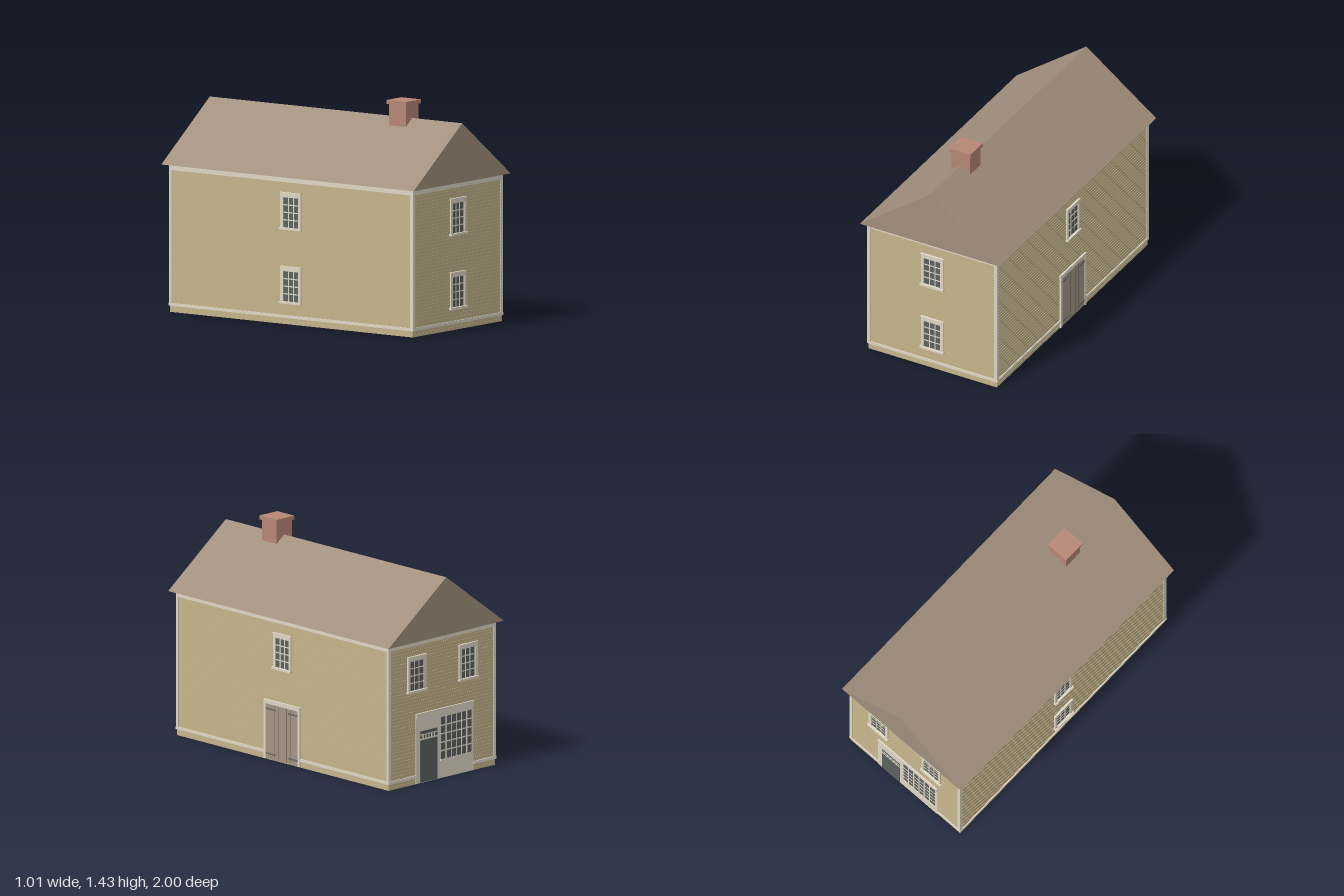
import * as THREE from 'three';

const mat = (name, color) => {
  const m = new THREE.MeshStandardMaterial({ color });
  m.name = name;
  return m;
};

const M = {
  siding: mat('tan siding', 0xc4b38a),
  trim: mat('pale trim', 0xdfd7c5),
  roof: mat('brown shingle', 0xa08f7c),
  brick: mat('brick', 0xb68675),
  glass: mat('dark glass', 0x5c6160),
  door: mat('barn door brown', 0xa69483),
  iron: mat('iron', 0x66696a),
};
M.siding.side = THREE.DoubleSide; // the wall shell is open underneath

// Half sizes of the house at the face of the clapboards
const WX = 0.467, WZ = 0.962, WALL_TOP = 0.94;
const COURSES = 43, PITCH = WALL_TOP / COURSES;

// Box given by its extents
function box(parent, name, m, x0, x1, y0, y1, z0, z1) {
  const mesh = new THREE.Mesh(new THREE.BoxGeometry(x1 - x0, y1 - y0, z1 - z0), m);
  mesh.position.set((x0 + x1) / 2, (y0 + y1) / 2, (z0 + z1) / 2);
  mesh.name = name;
  parent.add(mesh);
}

// One wall: local z = 0 is the clapboard face, +z points outward.
// gap is the [x0, x1] span where a doorway interrupts the water table.
function wall(parent, name, angle, distance, half, gap) {
  const g = new THREE.Group();
  g.name = name;
  g.rotation.y = angle;
  g.position.set(Math.sin(angle) * distance, 0, Math.cos(angle) * distance);
  parent.add(g);

  const sheet = new THREE.Mesh(new THREE.PlaneGeometry(2 * half - 0.006, WALL_TOP), M.siding);
  sheet.name = 'wallSheet';
  sheet.position.set(0, WALL_TOP / 2, -0.003);
  g.add(sheet);
  for (let i = 0; i < COURSES; i++) {
    box(g, 'clapboard', M.siding, -half, half, i * PITCH, (i + 0.8) * PITCH, -0.0025, 0);
  }

  box(g, 'frieze', M.trim, -half, half, 0.905, WALL_TOP, -0.002, 0.0045);
  for (const s of [-1, 1]) {
    const a = s * (half - 0.017), b = s * (half + 0.005);
    box(g, 'cornerBoard', M.trim, Math.min(a, b), Math.max(a, b), 0.04, WALL_TOP, -0.002, 0.005);
  }
  const end = half + 0.007;
  const runs = gap ? [[-end, gap[0]], [gap[1], end]] : [[-end, end]];
  for (const [a, b] of runs) box(g, 'waterTable', M.trim, a, b, 0.04, 0.058, -0.002, 0.007);
  return g;
}

// Glass plate with a grid of muntins
function panes(g, x0, x1, y0, y1, cols, rows, bar) {
  box(g, 'glass', M.glass, x0, x1, y0, y1, -0.001, 0.002);
  for (let i = 1; i < cols; i++) {
    const x = x0 + (x1 - x0) * i / cols;
    box(g, 'muntin', M.trim, x - bar / 2, x + bar / 2, y0, y1, 0, 0.0045);
  }
  for (let i = 1; i < rows; i++) {
    const y = y0 + (y1 - y0) * i / rows;
    box(g, 'muntin', M.trim, x0, x1, y - bar / 2, y + bar / 2, 0, 0.004);
  }
}

// Twelve-pane window with casing, cap and sill
function sashWindow(parent, cx, y0) {
  const g = new THREE.Group();
  g.name = 'window';
  g.position.set(cx, y0, 0);
  parent.add(g);
  panes(g, -0.06, 0.06, 0.014, 0.206, 3, 4, 0.007);
  for (const s of [-1, 1]) {
    box(g, 'casing', M.trim, s * 0.07 - 0.01, s * 0.07 + 0.01, 0.008, 0.232, -0.002, 0.01);
  }
  box(g, 'headCasing', M.trim, -0.06, 0.06, 0.206, 0.232, -0.002, 0.01);
  box(g, 'cap', M.trim, -0.083, 0.083, 0.232, 0.238, -0.002, 0.014);
  box(g, 'sill', M.trim, -0.086, 0.086, 0, 0.014, -0.002, 0.019);
}

// Double plank door with strap hinges
function barnDoor(parent) {
  const g = new THREE.Group();
  g.name = 'barnDoor';
  parent.add(g);
  box(g, 'doorHead', M.trim, -0.165, 0.165, 0.365, 0.392, -0.002, 0.011);
  box(g, 'doorLeaves', M.door, -0.146, 0.146, 0.004, 0.365, -0.002, 0.005);
  for (const s of [-1, 1]) {
    const span = (name, m, a, b, y0, y1, z) =>
      box(g, name, m, Math.min(s * a, s * b), Math.max(s * a, s * b), y0, y1, -0.002, z);
    span('doorCasing', M.trim, 0.146, 0.165, 0.004, 0.365, 0.011);
    for (const x of [0.035, 0.072]) span('plankGap', M.iron, x - 0.0015, x + 0.0015, 0.01, 0.36, 0.0055);
    for (const y of [0.04, 0.332]) span('strapHinge', M.iron, 0.055, 0.146, y - 0.005, y + 0.005, 0.008);
  }
}

// Shop front: flat surround, door with transom, many-paned window
function shopFront(parent) {
  const g = new THREE.Group();
  g.name = 'shopFront';
  parent.add(g);
  box(g, 'surroundPanel', M.trim, -0.23, 0.275, 0.002, 0.425, -0.002, 0.003);
  box(g, 'cornice', M.trim, -0.23, 0.275, 0.425, 0.458, -0.002, 0.009);

  const face = new THREE.Group();
  face.name = 'shopFittings';
  face.position.z = 0.003;
  g.add(face);
  box(face, 'shopDoor', M.glass, -0.195, -0.045, 0.004, 0.28, -0.001, 0.002);
  box(face, 'transomBar', M.trim, -0.195, -0.045, 0.28, 0.29, -0.001, 0.004);
  panes(face, -0.195, -0.045, 0.29, 0.312, 6, 1, 0.008);
  box(face, 'transomHead', M.trim, -0.195, -0.045, 0.312, 0.318, -0.001, 0.004);
  box(face, 'upperLight', M.glass, -0.195, -0.045, 0.318, 0.338, -0.001, 0.002);
  panes(face, -0.012, 0.256, 0.125, 0.4, 6, 5, 0.008);
  box(face, 'shopSill', M.trim, -0.018, 0.262, 0.115, 0.125, -0.001, 0.006);
}

export function createModel() {
  const house = new THREE.Group();
  house.name = 'house';

  // Walls and their openings
  const front = wall(house, 'frontWall', 0, WZ, WX);
  const right = wall(house, 'rightWall', Math.PI / 2, WX, WZ, [-0.165, 0.165]);
  const back = wall(house, 'backWall', Math.PI, WZ, WX, [-0.23, 0.275]);
  const left = wall(house, 'leftWall', -Math.PI / 2, WX, WZ);
  for (const w of [front, left]) {
    sashWindow(w, 0, 0.603);
    sashWindow(w, 0, 0.132);
  }
  sashWindow(right, 0, 0.603);
  barnDoor(right);
  for (const x of [-0.225, 0.225]) sashWindow(back, x, 0.603);
  shopFront(back);

  // Gable roof
  const gable = new THREE.Shape([
    new THREE.Vector2(-0.507, WALL_TOP),
    new THREE.Vector2(0.507, WALL_TOP),
    new THREE.Vector2(0, 1.317),
  ]);
  const roof = new THREE.Mesh(
    new THREE.ExtrudeGeometry(gable, { depth: 2, bevelEnabled: false }), M.roof);
  roof.position.z = -1;
  roof.name = 'roof';
  house.add(roof);

  // Chimney
  box(house, 'chimneyStack', M.brick, -0.067, 0.067, 1.2, 1.403, 0.47, 0.604);
  box(house, 'chimneyCap', M.brick, -0.078, 0.078, 1.403, 1.428, 0.459, 0.615);

  return house;
}
